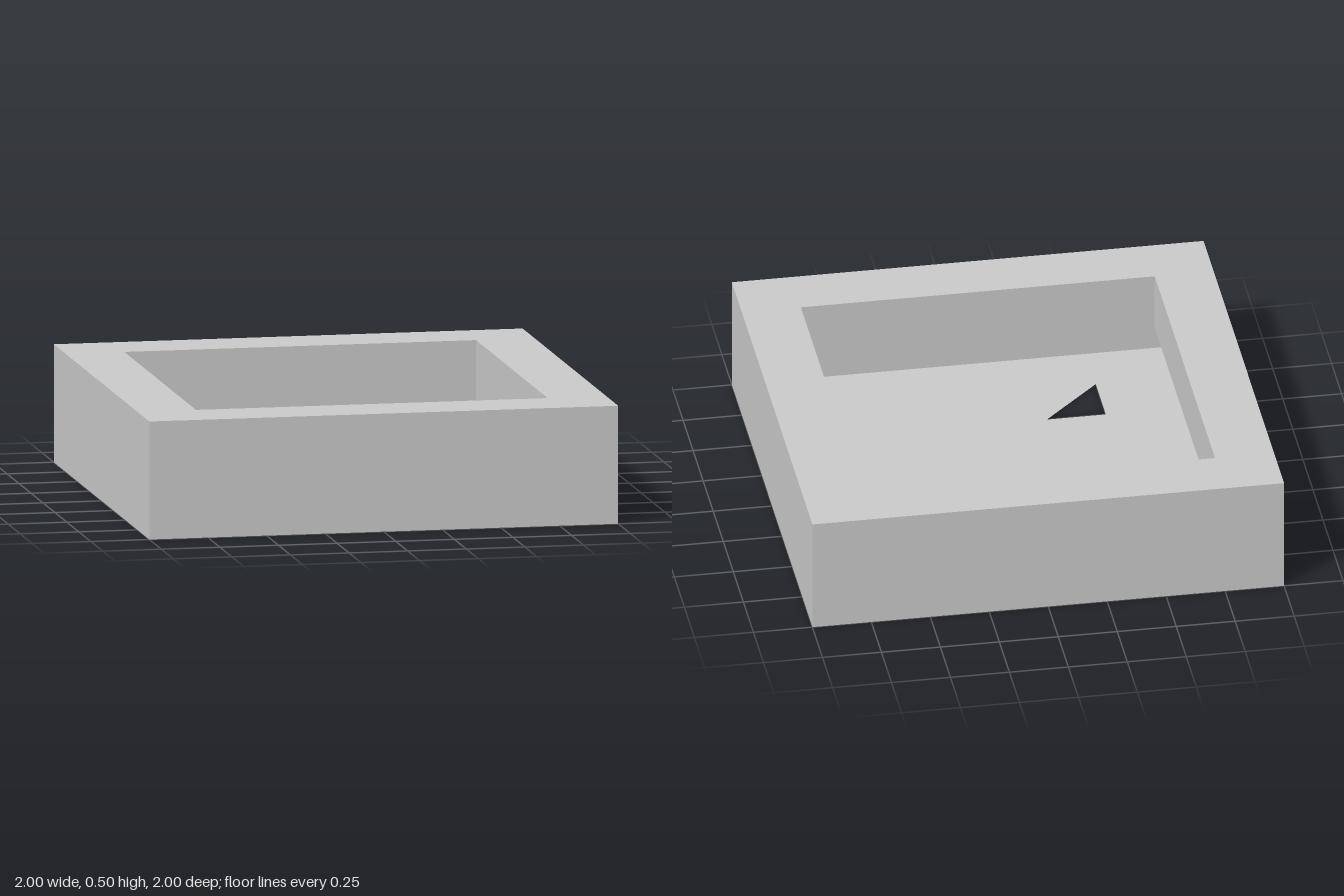
import * as THREE from 'three';

const HEIGHT = 0.5, LIP = 0.25, OUTER = 1, INNER = 0.75;

// Closed polygon from [x, y] corners
const polygon = (points, Type = THREE.Shape) =>
  new Type(points.map(([x, y]) => new THREE.Vector2(x, y)));
const square = (h, Type) => polygon([[-h, -h], [h, -h], [h, h], [-h, h]], Type);

export function createModel() {
  const group = new THREE.Group();
  const material = new THREE.MeshStandardMaterial({ color: 0xcccccc, side: THREE.DoubleSide });

  const add = (name, geometry, parent = group) => {
    const mesh = new THREE.Mesh(geometry, material);
    mesh.name = name;
    parent.add(mesh);
    return mesh;
  };

  // Four upright sheets around the centre, facing out (1) or in (-1)
  const addWalls = (name, half, bottom, top, facing) => {
    const walls = new THREE.Group();
    walls.name = name;
    for (let i = 0; i < 4; i++) {
      const geometry = new THREE.PlaneGeometry(2 * half, top - bottom);
      if (facing < 0) geometry.rotateY(Math.PI);
      geometry.translate(0, (bottom + top) / 2, half);
      geometry.rotateY(i * Math.PI / 2);
      add(name + 'Side', geometry, walls);
    }
    group.add(walls);
  };

  // Thin outer shell and the shorter lip hanging inside the opening
  addWalls('outerWall', OUTER, 0, HEIGHT, 1);
  addWalls('innerLip', INNER, LIP, HEIGHT, -1);

  // Flat top rim with a square opening
  const rim = square(OUTER);
  rim.holes.push(square(INNER, THREE.Path));
  add('topRim', new THREE.ShapeGeometry(rim).rotateX(-Math.PI / 2).translate(0, HEIGHT, 0));

  // Floor with a triangular hole; shape y becomes z
  const floor = square(OUTER);
  floor.holes.push(polygon([[-0.5, 0.5], [-0.25, 0.5], [-0.5, 0.75]], THREE.Path));
  add('floor', new THREE.ShapeGeometry(floor).rotateX(Math.PI / 2));

  return group;
}
